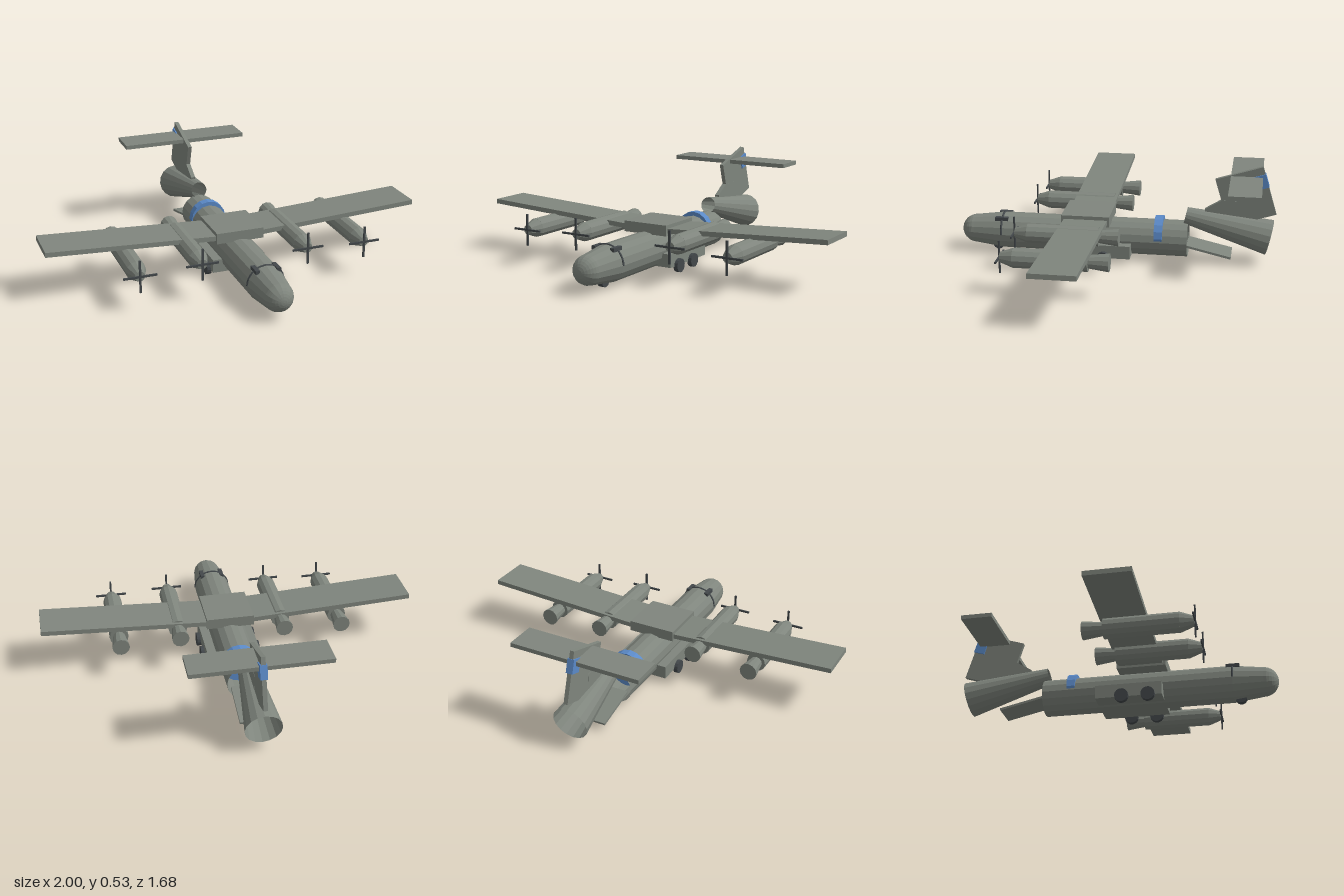
import * as THREE from 'three';

export function createModel() {
  const model = new THREE.Group();
  model.name = 'transportAircraft';

  const material = (name, color) => {
    const m = new THREE.MeshStandardMaterial({ color, flatShading: true, side: THREE.DoubleSide });
    m.name = name;
    return m;
  };
  const gray = material('hullGray', 0x7f857d);
  const dark = material('darkGray', 0x43484b);
  const blue = material('markingBlue', 0x5b8ac8);

  const add = (name, geometry, mat, x = 0, y = 0, z = 0, parent = model) => {
    const mesh = new THREE.Mesh(geometry, mat);
    mesh.name = name;
    mesh.position.set(x, y, z);
    parent.add(mesh);
    return mesh;
  };
  const box = (w, h, d) => new THREE.BoxGeometry(w, h, d);
  // Cylinder lying along z
  const tube = (rFront, rBack, length, sides = 16, open = false) =>
    new THREE.CylinderGeometry(rFront, rBack, length, sides, 1, open).rotateX(Math.PI / 2);
  // Side profile given as [z, y] points, with thickness along x
  const plate = (points, thickness) => {
    const shape = new THREE.Shape(points.map(p => new THREE.Vector2(p[0], p[1])));
    return new THREE.ExtrudeGeometry(shape, { depth: thickness, bevelEnabled: false })
      .translate(0, 0, -thickness / 2).rotateY(-Math.PI / 2);
  };

  // Fuselage, open at the rear for the cargo ramp
  const axisY = 0.117;
  add('fuselage', tube(0.096, 0.096, 0.995, 16, true), gray, 0, axisY, 0.1125);
  add('noseCone', tube(0.076, 0.096, 0.155, 16, true), gray, 0, axisY, 0.6875);
  add('noseTip', new THREE.SphereGeometry(0.076, 16, 8, 0, Math.PI * 2, 0, Math.PI / 2)
    .rotateX(Math.PI / 2), gray, 0, axisY, 0.765);
  add('fuselageBand', tube(0.097, 0.097, 0.044), blue, 0, 0.138, -0.232);

  // Cockpit frame
  add('cockpitFrame', new THREE.TorusGeometry(0.095, 0.006, 6, 16, Math.PI), dark, 0, axisY, 0.61);
  for (const s of [-1, 1])
    add('cockpitWindow', box(0.022, 0.02, 0.07), dark, s * 0.055, 0.195, 0.612);

  // Tail cone, rising towards its narrow front end
  const tailCone = add('tailCone', tube(0.044, 0.094, 0.452, 16, true), gray, 0, 0.196, -0.59);
  tailCone.rotation.x = -0.225;

  // Cargo ramp
  const ramp = add('cargoRamp', box(0.152, 0.012, 0.24), gray, 0, 0.071, -0.498);
  ramp.rotation.x = -0.225;

  // Fin with dorsal fillet, tailplane and blue tail fairing
  add('fin', plate([[-0.52, 0.453], [-0.764, 0.53], [-0.841, 0.276], [-0.597, 0.2]], 0.022), gray);
  add('finFillet', plate([[-0.47, 0.288], [-0.555, 0.34], [-0.65, 0.34], [-0.65, 0.2], [-0.48, 0.24]], 0.024), gray);
  add('tailplane', box(0.7, 0.022, 0.165), gray, 0, 0.464, -0.682);
  const fairing = add('tailFairing', box(0.036, 0.072, 0.06), blue, 0, 0.45, -0.76);
  fairing.rotation.x = 0.3;

  // Wing box and wings with slight dihedral
  add('wingBox', box(0.254, 0.056, 0.255), gray, 0, 0.229, 0.147);
  for (const s of [-1, 1]) {
    const wing = add('wing', box(0.92, 0.025, 0.228), gray, s * 0.54, 0.247, 0.145);
    wing.rotation.z = s * 0.052;
  }

  // Engines with four-bladed propellers
  for (const [x, y] of [[0.28, 0.206], [0.595, 0.193]]) {
    for (const s of [-1, 1]) {
      const engine = new THREE.Group();
      engine.name = 'engine';
      engine.position.set(s * x, y, 0);
      model.add(engine);
      add('nacelle', tube(0.05, 0.05, 0.37, 12), gray, 0, 0, 0.233, engine);
      add('spinner', tube(0.026, 0.05, 0.067, 12), gray, 0, 0, 0.451, engine);
      add('exhaust', tube(0.032, 0.046, 0.11, 12), gray, 0, 0, 0, engine);
      add('verticalBlades', box(0.01, 0.168, 0.008), dark, 0, 0, 0.488, engine);
      add('horizontalBlades', box(0.168, 0.01, 0.008), dark, 0, 0, 0.488, engine);
    }
  }

  // Landing gear
  add('gearSponson', box(0.284, 0.07, 0.346), gray, 0, 0.07, 0.082);
  const wheel = (r, w) => new THREE.CylinderGeometry(r, r, w, 14).rotateZ(Math.PI / 2);
  for (const s of [-1, 1])
    for (const z of [0.184, 0.048])
      add('mainWheel', wheel(0.036, 0.024), dark, s * 0.149, 0.037, z);
  add('noseWheel', wheel(0.031, 0.03), dark, 0, 0.038, 0.645);

  return model;
}
